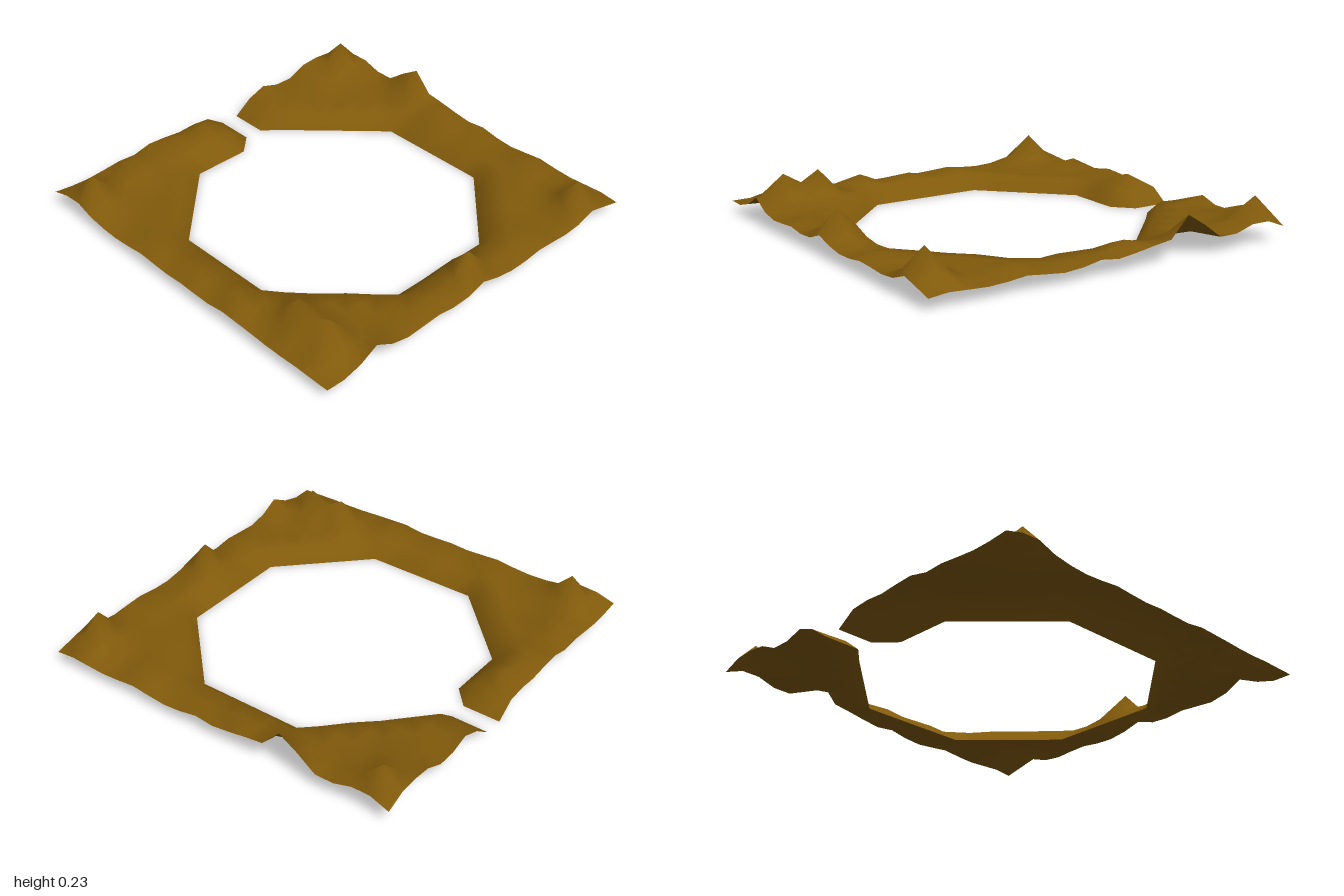
import * as THREE from 'three';

// Hills as [x, z, rise above the plain]
const hills = [
  [-0.9, -0.9, 0.14], [-0.8, -1, 0.04], [-0.7, -0.9, 0.03], [-1, -0.8, 0.04], [-1, -0.7, 0.05],
  [-0.4, -1, 0.145], [-0.5, -1, 0.06], [-0.2, -1, 0.03], [-0.1, -0.9, 0.05], [0.1, -1, 0.02],
  [0.5, -0.9, 0.03], [0.9, -0.8, 0.14], [0.9, -0.9, 0.03], [0.9, 0, 0.145], [1, 0.7, 0.07],
  [0.6, 0.8, 0.145], [0.8, 0.8, 0.135], [0.3, 0.9, 0.06], [0, 0.9, 0.02], [-0.8, 0.9, 0.14],
  [-0.9, 1, 0.03], [-0.9, 0.6, 0.05], [-1, 0.4, 0.03], [-0.9, 0.3, 0.04], [-0.9, 0.1, 0.06],
  [-1, -0.4, 0.05], [-0.8, -0.7, 0.03], [0.9, 0.3, 0.03], [0.9, -0.4, 0.03], [-0.3, 0.9, 0.02],
];
const N = 20;
const STEP = 2 / N;

// Lake basin plus the narrow channel leading out on one side
function isWet(x, z) {
  const inLake = Math.hypot(x, z) < 0.77;
  const inChannel = x < -0.65 && z < -0.05 && z > -0.25;
  return inLake || inChannel;
}

// Gently rolling plain, lower along the outer border, with the hills on top
function height(x, z) {
  if (isWet(x, z)) return 0;
  const onBorder = Math.max(Math.abs(x), Math.abs(z)) > 0.95;
  let y = onBorder ? 0.062 : 0.074;
  y += 0.007 * Math.sin(x * 13 + z * 5) * Math.cos(z * 11 - x * 4);
  for (const [hx, hz, rise] of hills) {
    y += rise * Math.exp(-((x - hx) ** 2 + (z - hz) ** 2) / 0.008);
  }
  return y;
}

export function createModel() {
  const earth = new THREE.MeshStandardMaterial({ color: 0x815a0b, side: THREE.DoubleSide });
  earth.name = 'earth brown';

  // Height grid
  const positions = [], wet = [], index = [];
  for (let j = 0; j <= N; j++) {
    for (let i = 0; i <= N; i++) {
      const x = -1 + i * STEP, z = -1 + j * STEP;
      // shoreline vertices sit slightly outside the exact grid
      const shore = isWet(x, z) && Math.hypot(x, z) > 0.69 && x > -0.75 ? 1.01 : 1;
      positions.push(x * shore, height(x, z), z * shore);
      wet.push(isWet(x, z));
    }
  }

  // Keep triangles that touch land; cut shore cells along their wet diagonal
  const addTriangle = (...t) => {
    if (t.some((v) => !wet[v])) index.push(...t);
  };
  for (let j = 0; j < N; j++) {
    for (let i = 0; i < N; i++) {
      const a = j * (N + 1) + i, b = a + 1, c = a + N + 1, d = c + 1;
      if (wet[a] !== wet[d]) {
        addTriangle(a, c, b);
        addTriangle(b, c, d);
      } else {
        addTriangle(a, c, d);
        addTriangle(a, d, b);
      }
    }
  }

  const geometry = new THREE.BufferGeometry();
  geometry.setAttribute('position', new THREE.Float32BufferAttribute(positions, 3));
  geometry.setIndex(index);
  geometry.computeVertexNormals();

  const terrain = new THREE.Mesh(geometry, earth);
  terrain.name = 'lakeShoreTerrain';
  const group = new THREE.Group();
  group.name = 'terrain';
  group.add(terrain);
  return group;
}
